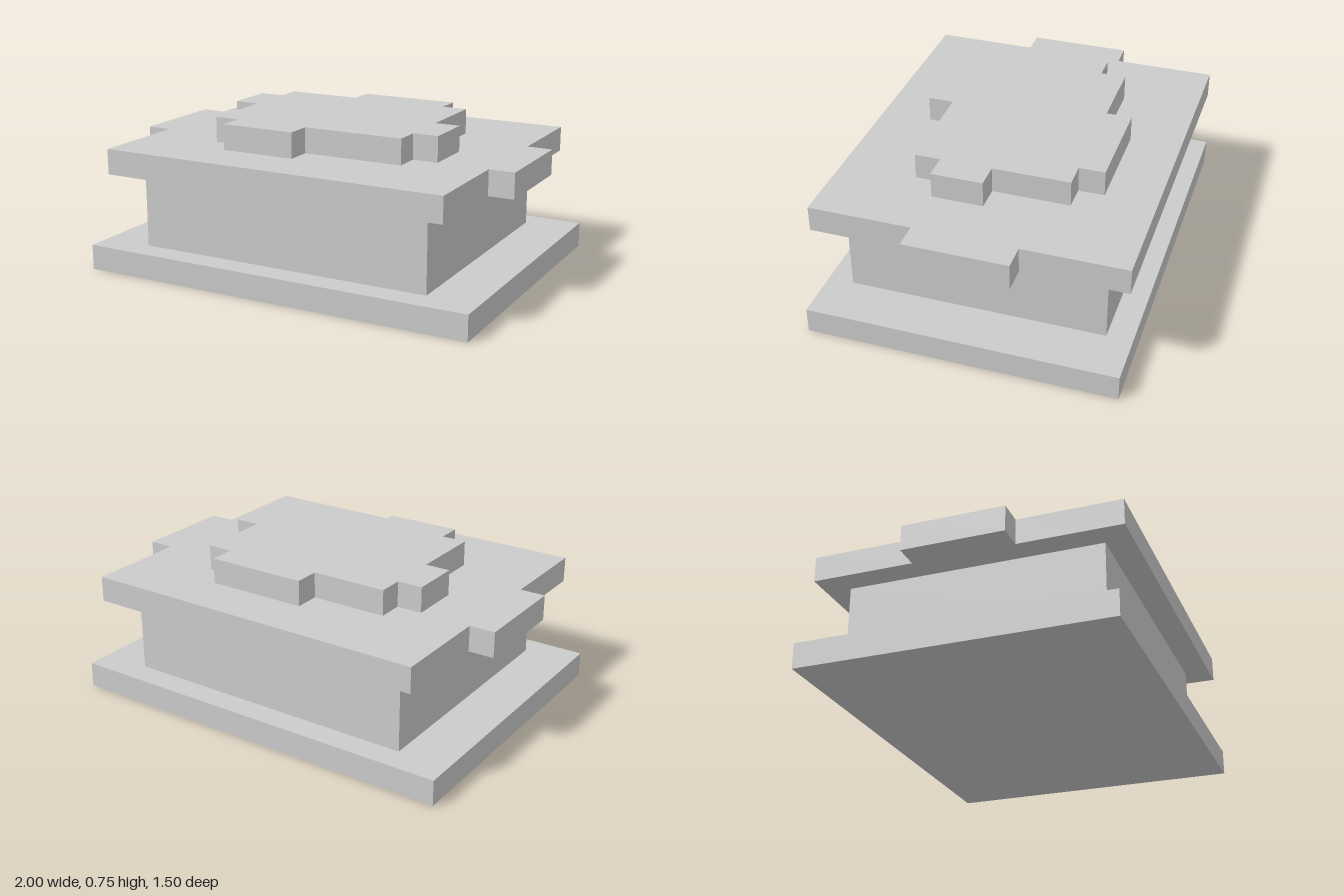
import * as THREE from 'three';

const material = new THREE.MeshStandardMaterial({ color: 0xcccccc, flatShading: true });

// Flat slab from a plan outline of [x, z] corners, between heights y0 and y1
function slab(name, outline, y0, y1) {
  const shape = new THREE.Shape(outline.map(([x, z]) => new THREE.Vector2(x, -z)));
  const geometry = new THREE.ExtrudeGeometry(shape, { depth: y1 - y0, bevelEnabled: false });
  geometry.rotateX(-Math.PI / 2).translate(0, y0, 0);
  const mesh = new THREE.Mesh(geometry, material);
  mesh.name = name;
  return mesh;
}

const rectangle = (x, z) => [[-x, -z], [x, -z], [x, z], [-x, z]];

export function createModel() {
  const group = new THREE.Group();
  group.name = 'steppedPedestal';

  // Base plate and block
  group.add(slab('basePlate', rectangle(1, 0.75), 0, 0.125));
  group.add(slab('body', rectangle(0.75, 0.625), 0.125, 0.5));

  // Overhanging slab with a tab on each side
  const half = [[0.875, -0.75], [0.875, -0.25], [1, -0.25], [1, 0.25], [0.875, 0.25], [0.875, 0.75]];
  const mirrored = half.map(([x, z]) => [-x, -z]);
  group.add(slab('upperSlab', [...half, ...mirrored], 0.5, 0.625));

  // Irregular stepped layer on top
  group.add(slab('topLayer', [
    [-0.125, -0.5], [0.375, -0.5], [0.375, -0.375], [0.5, -0.375], [0.5, 0],
    [0.625, 0], [0.625, 0.25], [0.5, 0.25], [0.5, 0.375], [0, 0.375],
    [0, 0.5], [-0.375, 0.5], [-0.375, 0.375], [-0.5, 0.375], [-0.5, 0],
    [-0.625, 0], [-0.625, -0.25], [-0.5, -0.25], [-0.5, -0.375], [-0.125, -0.375],
  ], 0.625, 0.75));

  return group;
}
